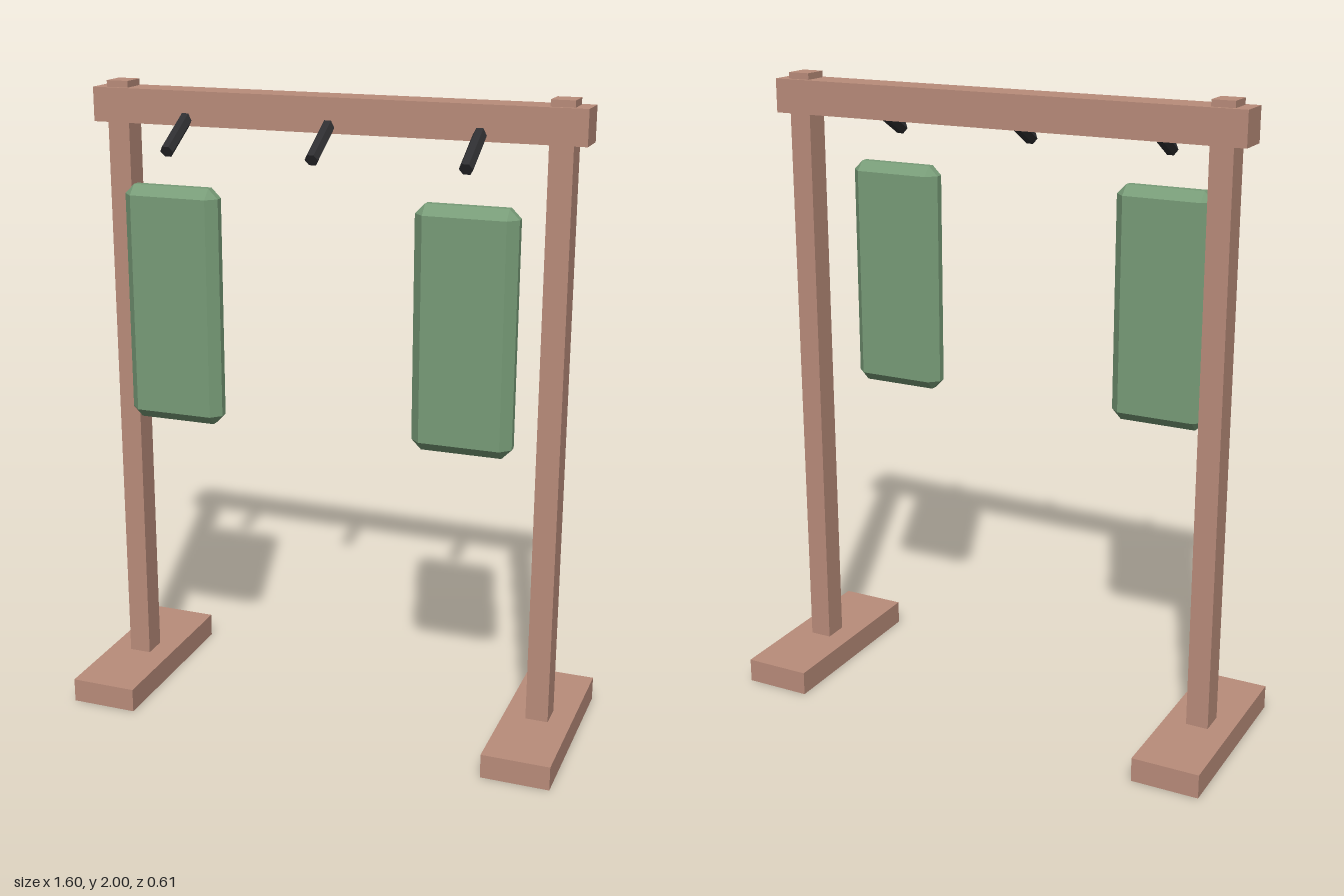
import * as THREE from 'three';
import { ConvexGeometry } from 'three/addons/geometries/ConvexGeometry.js';

const material = (name, color) => {
  const m = new THREE.MeshStandardMaterial({ color });
  m.name = name;
  return m;
};

// Box with every edge cut at 45 degrees
function chamferedBox(w, h, d, cut) {
  const points = [];
  for (const x of [-1, 1]) for (const y of [-1, 1]) for (const z of [-1, 1]) {
    for (let axis = 0; axis < 3; axis++) {
      const p = [w, h, d].map((size, i) => size / 2 - (i === axis ? 0 : cut));
      points.push(new THREE.Vector3(x * p[0], y * p[1], z * p[2]));
    }
  }
  return new ConvexGeometry(points);
}

export function createModel() {
  const model = new THREE.Group();
  model.name = 'hangingRack';
  const wood = material('wood', 0xb98c7a);
  const green = material('greenPadding', 0x789c78);
  const black = material('blackPeg', 0x2e2e31);

  const add = (name, geometry, mat, x, y, z) => {
    const mesh = new THREE.Mesh(geometry, mat);
    mesh.name = name;
    mesh.position.set(x, y, z);
    model.add(mesh);
    return mesh;
  };

  // Cross beam, with the post tops rising just above it
  add('crossBeam', new THREE.BoxGeometry(1.54, 0.105, 0.106), wood, 0, 1.9275, 0);

  const foot = new THREE.BoxGeometry(0.214, 0.077, 0.612);
  const post = new THREE.BoxGeometry(0.071, 1.923, 0.08);
  const pad = chamferedBox(0.306, 0.736, 0.084, 0.03);
  for (const [side, s] of [['left', 1], ['right', -1]]) {
    add(side + 'Foot', foot, wood, s * 0.693, 0.0385, 0);
    add(side + 'Post', post, wood, s * 0.693, 1.0385, 0);
    add(side + 'Pad', pad, green, s * 0.46, 1.342, 0.153);
  }

  // Six-sided pegs sloping down and forward out of the beam
  const length = 0.18;
  const peg = new THREE.CylinderGeometry(0.021, 0.021, length, 6, 1, false, Math.PI / 6).toNonIndexed();
  peg.computeVertexNormals();
  const slope = Math.PI / 6;
  for (const [name, x] of [['leftPeg', 0.46], ['middlePeg', 0], ['rightPeg', -0.46]]) {
    const y = 1.816 + Math.sin(slope) * length / 2;
    const z = 0.185 - Math.cos(slope) * length / 2;
    add(name, peg, black, x, y, z).rotation.x = Math.PI / 2 + slope;
  }
  return model;
}
